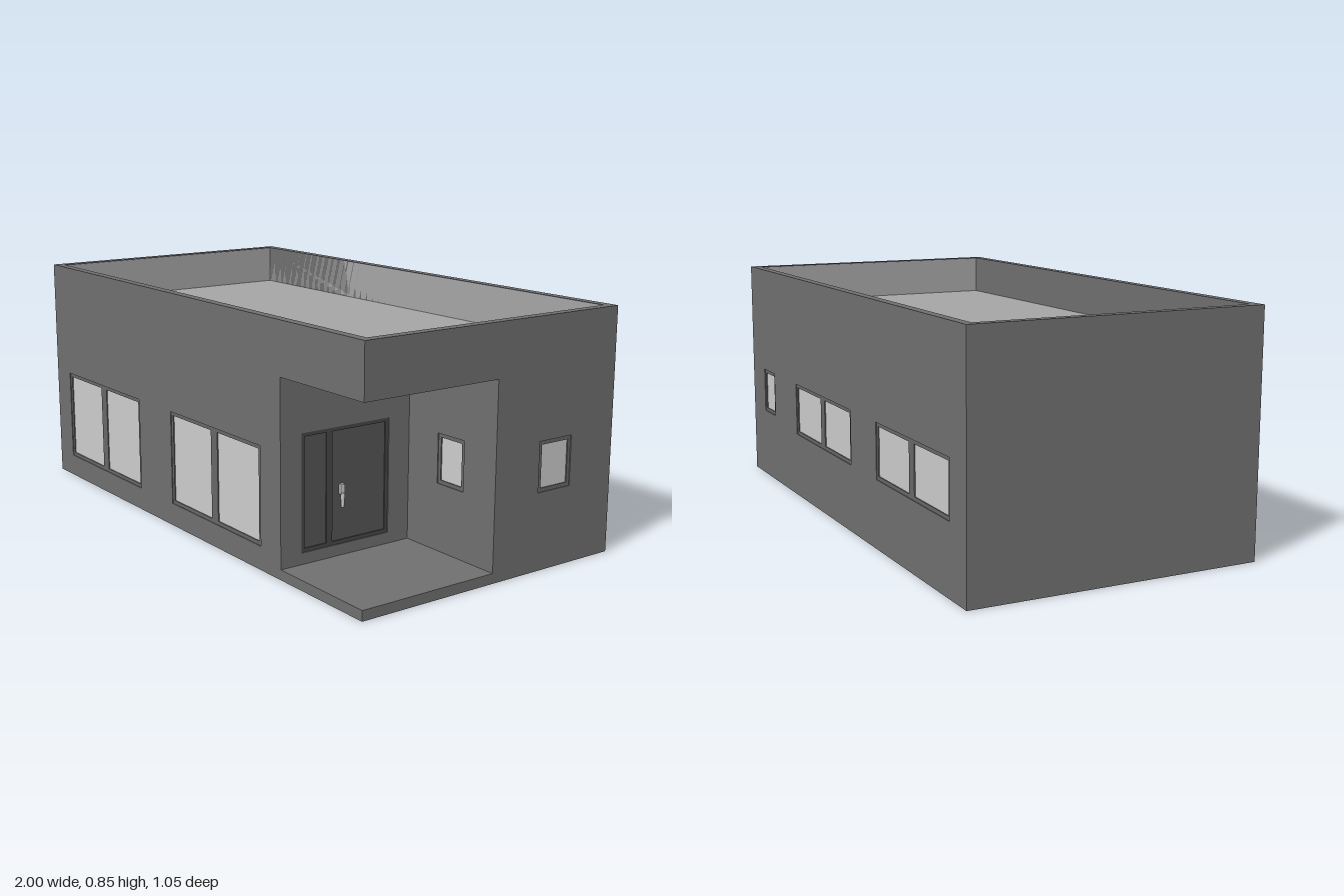
import * as THREE from 'three';

const mat = (color) => new THREE.MeshStandardMaterial({ color });
const WALL = mat(0x6f6f6f), ROOF = mat(0xa5a5a5), GLASS = mat(0xcccccc);
const FRAME = mat(0x676767), DOOR = mat(0x555555), DOOR_FRAME = mat(0x474747);

const X = 1, Z = 0.525, H = 0.845, T = 0.033;      // half width, half depth, height, wall thickness
const FLOOR = 0.035, CEILING = 0.665, DECK = 0.7;  // porch floor, porch ceiling, roof deck
const PORCH = 0.58;                                // porch spans x 0.58..1, z 0..0.525

// Rectangles are [u0, y0, u1, y1]
const rect = ([a, b, c, d]) => [[a, b], [c, b], [c, d], [a, d]];
const toPoints = (list) => list.map(([x, y]) => new THREE.Vector2(x, y));

// Flat panel with holes; its outer face lies at local z = front
function panel(name, outline, holes, front, depth, material) {
  const shape = new THREE.Shape(toPoints(outline));
  holes.forEach((h) => shape.holes.push(new THREE.Path(toPoints(rect(h)))));
  const geo = new THREE.ExtrudeGeometry(shape, { depth, bevelEnabled: false });
  geo.translate(0, 0, front - depth);
  const mesh = new THREE.Mesh(geo, material);
  mesh.name = name;
  return mesh;
}

function box(name, [x0, y0, z0], [x1, y1, z1], material) {
  const mesh = new THREE.Mesh(new THREE.BoxGeometry(x1 - x0, y1 - y0, z1 - z0), material);
  mesh.position.set((x0 + x1) / 2, (y0 + y1) / 2, (z0 + z1) / 2);
  mesh.name = name;
  return mesh;
}

// Outer rectangle around a row of panes
function around(panes, rim = 0.013) {
  const first = panes[0], last = panes[panes.length - 1];
  return [first[0] - rim, first[1] - rim, last[2] + rim, last[3] + rim];
}

// Wall with framed openings, each opening being a row of panes
function wall(name, outline, openings, position, angle, isDoor = false) {
  const group = new THREE.Group();
  group.name = name;
  const kind = isDoor ? 'door' : 'window';
  group.add(panel(name + 'Panel', outline, openings.map((o) => around(o)), 0, T, WALL));
  openings.forEach((panes) => {
    const frame = rect(around(panes));
    group.add(panel(kind + 'Frame', frame, panes, -0.003, 0.02, isDoor ? DOOR_FRAME : FRAME));
    panes.forEach((p) => group.add(
      panel(isDoor ? 'doorLeaf' : 'windowPane', rect(p), [], -0.007, 0.012, isDoor ? DOOR : GLASS)));
  });
  group.position.set(...position);
  group.rotation.y = angle;
  return group;
}

// Outer wall outline with the porch cut out of one end
function notched(u0, u1, cut, cutAtEnd) {
  const pts = [[u0, 0], [u1, 0]];
  if (cutAtEnd) pts.push([u1, FLOOR], [cut, FLOOR], [cut, CEILING], [u1, CEILING]);
  pts.push([u1, H], [u0, H]);
  if (!cutAtEnd) pts.push([u0, CEILING], [cut, CEILING], [cut, FLOOR], [u0, FLOOR]);
  return pts;
}

// Two window panes side by side
const pair = (u, y0, y1) => [[u, y0, u + 0.25, y1], [u + 0.29, y0, u + 0.54, y1]];

export function createModel() {
  const house = new THREE.Group();
  house.name = 'house';
  const quarter = Math.PI / 2;

  // Outer walls
  house.add(
    wall('frontWall', notched(-X, X, PORCH, true),
      [pair(-0.88, 0.095, 0.408), pair(-0.087, 0.095, 0.408)], [0, 0, Z], 0),
    wall('rightWall', notched(-Z, Z, 0, false), [[[0.203, 0.28, 0.32, 0.425]]], [X, 0, 0], quarter),
    wall('backWall', rect([-X, 0, X, H]),
      [[[-0.845, 0.28, -0.745, 0.425]], pair(-0.46, 0.255, 0.425), pair(0.335, 0.255, 0.425)],
      [0, 0, -Z], Math.PI),
    wall('leftWall', rect([-Z, 0, Z, H]), [], [-X, 0, 0], -quarter));

  // Porch walls
  house.add(
    wall('porchBackWall', rect([PORCH - T, FLOOR, X, CEILING]),
      [[[0.74, 0.28, 0.84, 0.425]]], [0, 0, 0], 0),
    wall('porchDoorWall', rect([-Z, FLOOR, 0, CEILING]),
      [[[-0.43, 0.087, -0.342, 0.46], [-0.318, 0.087, -0.1, 0.46]]], [PORCH, 0, 0], quarter, true));

  // Floor slab, roof slab and pale roof deck
  const ix = X - T, iz = Z - T + 0.003;
  house.add(
    box('floorSlab', [-X, 0, -Z], [X, FLOOR, Z], WALL),
    box('roofSlab', [-ix, CEILING, -iz], [ix, DECK - 0.005, iz], WALL),
    box('roofDeck', [-ix, DECK - 0.005, -iz], [ix, DECK, iz], ROOF));

  // Pale lining inside the parapet
  const top = H - 0.003, t = 0.003;
  for (const s of [-1, 1]) {
    const [x0, x1] = [s * ix, s * (ix - t)].sort((a, b) => a - b);
    const [z0, z1] = [s * iz, s * (iz - t)].sort((a, b) => a - b);
    house.add(
      box('parapetLining', [x0, DECK, -iz], [x1, top, iz], ROOF),
      box('parapetLining', [-ix, DECK, z0], [ix, top, z1], ROOF));
  }

  // Door handle: back plate with a tapered grip
  const handle = new THREE.Group();
  handle.name = 'doorHandle';
  handle.add(box('handlePlate', [-0.008, 0.245, -0.008], [0.006, 0.278, 0.008], GLASS));
  const grip = new THREE.Mesh(new THREE.CylinderGeometry(0.008, 0.005, 0.05, 10), GLASS);
  grip.name = 'handleGrip';
  grip.position.set(0.004, 0.225, 0);
  handle.add(grip);
  handle.position.set(PORCH, 0, 0.281);
  house.add(handle);

  return house;
}
